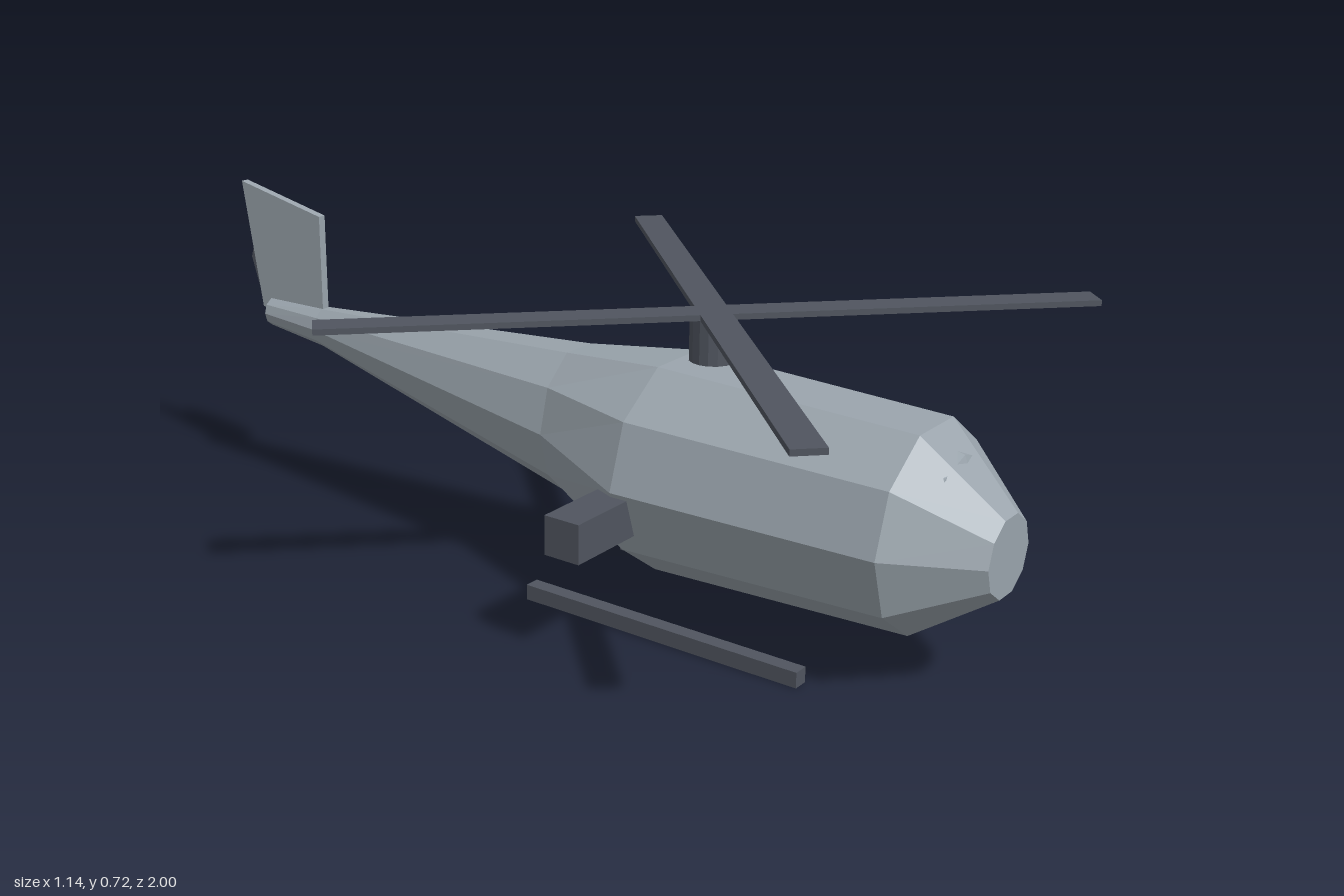
import * as THREE from 'three';

const paint = (name, color) => {
  const m = new THREE.MeshStandardMaterial({ color });
  m.name = name;
  m.flatShading = true;
  return m;
};

// Ten-sided hull lofted through [z, centreY, radiusX, radiusY] sections, capped at both ends
function loft(sections, sides = 10) {
  const pos = [], index = [];
  for (const [z, cy, rx, ry] of sections) {
    for (let i = 0; i < sides; i++) {
      const a = (i / sides) * Math.PI * 2;
      pos.push(Math.cos(a) * rx, cy + Math.sin(a) * ry, z);
    }
  }
  const last = (sections.length - 1) * sides;
  for (let s = 0; s < last; s += sides) {
    for (let i = 0; i < sides; i++) {
      const j = (i + 1) % sides;
      const a = s + i, b = s + j, c = a + sides, d = b + sides;
      index.push(a, b, c, b, d, c);
    }
  }
  for (let i = 1; i < sides - 1; i++) {
    index.push(0, i + 1, i, last, last + i, last + i + 1);
  }
  const g = new THREE.BufferGeometry();
  g.setAttribute('position', new THREE.Float32BufferAttribute(pos, 3));
  g.setIndex(index);
  const flat = g.toNonIndexed();
  flat.computeVertexNormals();
  return flat;
}

export function createModel() {
  const body = paint('hull grey', 0x9aa4ac);
  const dark = paint('dark grey', 0x50555f);
  const model = new THREE.Group();
  model.name = 'helicopter';

  const add = (name, geometry, material, x = 0, y = 0, z = 0) => {
    const mesh = new THREE.Mesh(geometry, material);
    mesh.name = name;
    mesh.position.set(x, y, z);
    model.add(mesh);
    return mesh;
  };

  // Fuselage and tail boom, from the tail to the nose
  add('fuselage', loft([
    [-0.885, 0.422, 0.032, 0.034],
    [-0.72, 0.414, 0.038, 0.046],
    [0.015, 0.35, 0.13, 0.162],
    [0.265, 0.314, 0.228, 0.228],
    [0.84, 0.315, 0.21, 0.21],
    [1.0, 0.297, 0.082, 0.082],
  ]), body);

  // Canopy, just breaking through the upper nose
  const canopy = new THREE.LatheGeometry([
    [0, 0.6], [0.155, 0.78], [0.125, 0.9], [0, 0.95],
  ].map(([r, h]) => new THREE.Vector2(r, h)), 10);
  canopy.rotateX(Math.PI / 2);
  add('canopy', canopy, body, 0, 0.347, 0);

  // Swept tail fin, drawn in (-z, y) and turned to lie in the centre plane
  const outline = new THREE.Shape([
    [0.717, 0.43], [0.912, 0.43], [0.963, 0.723], [0.717, 0.674],
  ].map(([x, y]) => new THREE.Vector2(x, y)));
  const fin = new THREE.ExtrudeGeometry(outline, { depth: 0.018, bevelEnabled: false });
  fin.translate(0, 0, -0.009);
  fin.rotateY(Math.PI / 2);
  add('tailFin', fin, body);

  // Tail rotor disc
  const disc = new THREE.CylinderGeometry(0.113, 0.113, 0.011, 10);
  disc.rotateZ(Math.PI / 2);
  add('tailRotor', disc, dark, 0.049, 0.526, -0.887);

  // Rotor hub and two crossed blades
  add('rotorHub', new THREE.CylinderGeometry(0.048, 0.048, 0.09, 16), dark, 0, 0.59, 0.347);
  for (const side of [-1, 1]) {
    const blade = add('rotorBlade', new THREE.BoxGeometry(1.554, 0.012, 0.064), dark, 0, 0.64, 0.346);
    blade.rotation.y = side * Math.PI / 4;
  }

  // Stub wing
  add('stubWing', new THREE.BoxGeometry(0.752, 0.082, 0.082), dark, 0, 0.264, 0.262);

  // Landing skids
  for (const side of [-1, 1]) {
    add('skid', new THREE.BoxGeometry(0.033, 0.033, 0.655), dark, side * 0.164, 0.0165, 0.345);
  }

  return model;
}
